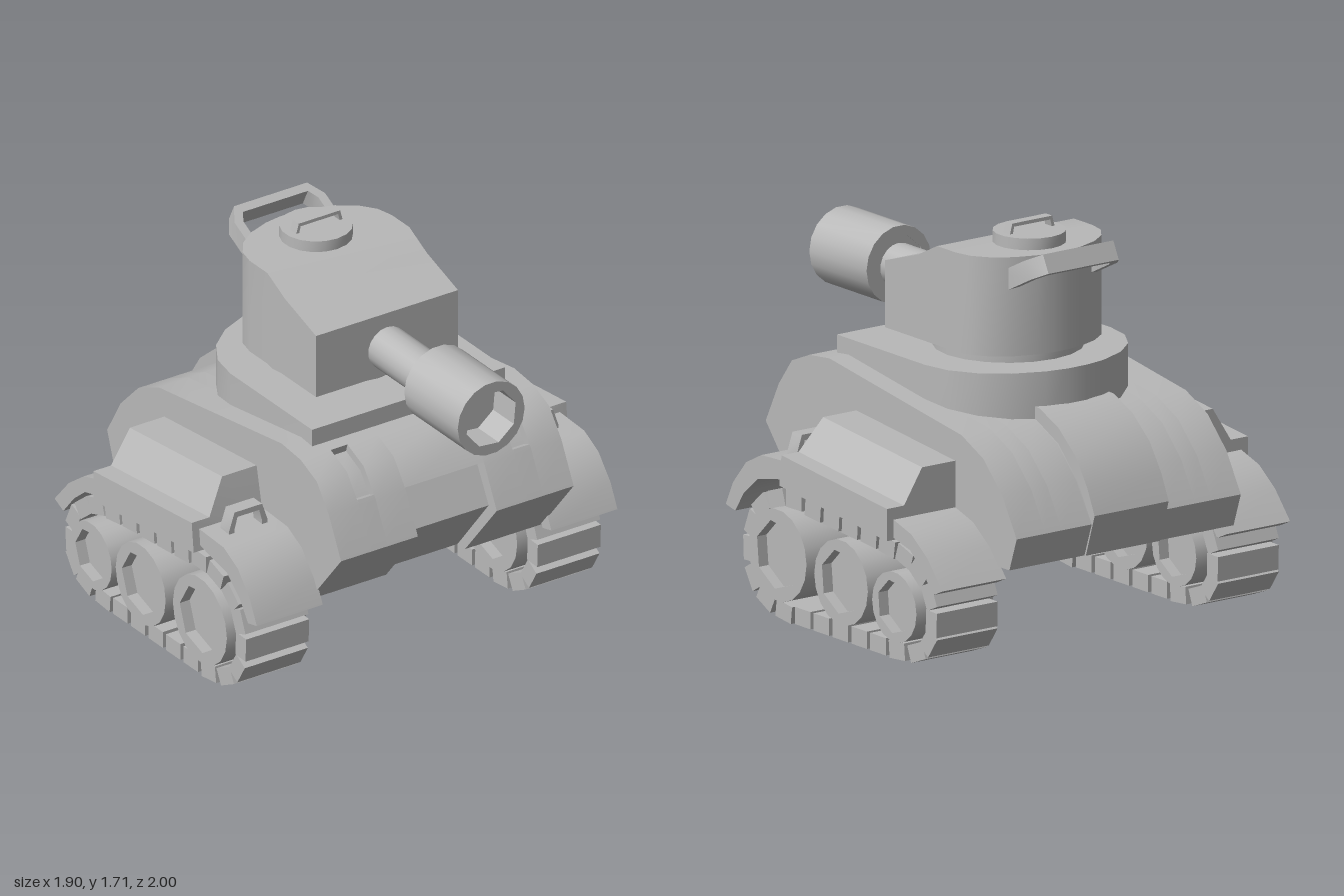
import * as THREE from 'three';
import { toCreasedNormals } from 'three/addons/utils/BufferGeometryUtils.js';

const grey = new THREE.MeshStandardMaterial({ color: 0xb8b8b8 });
grey.name = 'armour grey';

const poly = (n, r, cx = 0, cy = 0, turn = 0) => Array.from({ length: n }, (_, i) => {
  const a = turn + (i / n) * Math.PI * 2;
  return [cx + r * Math.cos(a), cy + r * Math.sin(a)];
});
const toV2 = (pts) => pts.map(([a, b]) => new THREE.Vector2(a, b));

// Flat outline (with optional hole) pushed along +z
function extrude(pts, depth, hole) {
  const shape = new THREE.Shape(toV2(pts));
  if (hole) shape.holes.push(new THREE.Path(toV2(hole)));
  return new THREE.ExtrudeGeometry(shape, { depth, bevelEnabled: false });
}

// Side outline in (z, y) pushed from x0 to x1
const slab = (pts, x0, x1, hole) =>
  extrude(pts, x1 - x0, hole).rotateY(-Math.PI / 2).translate(x1, 0, 0);

// Skin over matching loops, front to back, counter-clockwise seen from the front
function loft(rings) {
  const pos = [];
  const tri = (...p) => p.forEach((v) => pos.push(...v));
  const n = rings[0].length;
  const first = rings[0], last = rings[rings.length - 1];
  for (let i = 1; i < n - 1; i++) {
    tri(first[0], first[i], first[i + 1]);
    tri(last[0], last[i + 1], last[i]);
  }
  for (let r = 0; r < rings.length - 1; r++) {
    for (let i = 0; i < n; i++) {
      const j = (i + 1) % n, a = rings[r], b = rings[r + 1];
      tri(a[i], b[i], b[j]);
      tri(a[i], b[j], a[j]);
    }
  }
  const g = new THREE.BufferGeometry();
  g.setAttribute('position', new THREE.Float32BufferAttribute(pos, 3));
  g.computeVertexNormals();
  return g;
}

// Straight sides with a rounded back; rows of [z, half width, top]
function roundedBack(front, zc, rx, rz, bottom, top) {
  const rows = front.map(([z, y]) => [z, rx, y]);
  for (const deg of [0, 18, 36, 54, 72, 84]) {
    const a = THREE.MathUtils.degToRad(deg);
    rows.push([zc - rz * Math.sin(a), rx * Math.cos(a), top]);
  }
  return loft(rows.map(([z, w, y]) => [[-w, bottom, z], [w, bottom, z], [w, y, z], [-w, y, z]]));
}

export function createModel() {
  const model = new THREE.Group();
  model.name = 'tank';
  const add = (name, geometry, parent = model) => {
    const mesh = new THREE.Mesh(toCreasedNormals(geometry, 0.62), grey);
    mesh.name = name;
    parent.add(mesh);
    return mesh;
  };

  // Hull, sliced across its width so the front panel and slots are recessed
  const rear = [[0.31, 1.065], [-0.36, 0.965], [-0.6, 0.93], [-0.75, 0.86], [-0.88, 0.73], [-0.98, 0.56], [-0.93, 0.415]];
  const lower = [[0.515, 0.415], [0.75, 0.7]];
  const plain = [...lower, [0.66, 0.88], [0.57, 1.0], [0.45, 1.05], ...rear];
  const slotted = [...lower, [0.66, 0.88], [0.648, 0.9], [0.61, 0.885], [0.545, 0.97], [0.44, 1.015], [0.45, 1.05], ...rear];
  const panel = [[0.46, 0.415], [0.69, 0.7], [0.605, 0.86], [0.655, 0.89], [0.57, 1.0], [0.45, 1.05], ...rear];
  add('hullCentre', slab(panel, -0.2, 0.2));
  for (const s of [1, -1]) {
    for (const [name, outline, a, b] of [['hullInner', plain, 0.2, 0.352], ['hullSlot', slotted, 0.352, 0.437], ['hullOuter', plain, 0.437, 0.59]]) {
      add(name, slab(outline, s > 0 ? a : -b, s > 0 ? b : -a));
    }
  }
  add('rearStrip', slab([[-0.5, 0.99], [-0.62, 0.985], [-0.75, 0.93], [-0.87, 0.83], [-0.95, 0.71], [-1, 0.6],
    [-0.94, 0.415], [-0.85, 0.415], [-0.85, 0.6], [-0.5, 0.8]], -0.195, 0.195));

  // Turret
  add('turretBase', roundedBack([[0.39, 1.135]], -0.215, 0.49, 0.412, 0.92, 1.135));
  add('turretNeck', new THREE.CylinderGeometry(0.32, 0.32, 0.08, 20).translate(0, 1.155, -0.15));
  add('turret', roundedBack([[0.23, 1.47], [0, 1.545], [-0.13, 1.61]], -0.26, 0.36, 0.255, 1.18, 1.61));
  add('hatch', new THREE.CylinderGeometry(0.155, 0.155, 0.06, 18).translate(0, 1.63, -0.295));
  add('hatchHandle', extrude([[-0.12, 1.65], [-0.105, 1.705], [0.105, 1.705], [0.12, 1.65],
    [0.105, 1.65], [0.095, 1.69], [-0.095, 1.69], [-0.105, 1.65]], 0.045).translate(0, 0, -0.315));
  add('turretRearHandle', extrude([[-0.23, -0.04], [-0.23, 0.16], [-0.185, 0.235], [0.185, 0.235], [0.23, 0.16], [0.23, -0.04],
    [0.19, -0.04], [0.19, 0.15], [0.165, 0.195], [-0.165, 0.195], [-0.19, 0.15], [-0.19, -0.04]], 0.085)
    .translate(0, 0, -0.0425).rotateX(-1.107).translate(0, 1.51, -0.44));

  // Gun with an open muzzle
  add('barrel', new THREE.CylinderGeometry(0.096, 0.096, 0.5, 18).rotateX(Math.PI / 2).translate(0, 1.308, 0.4));
  add('muzzle', extrude(poly(18, 0.17), 0.395, poly(8, 0.13, 0, 0, 0.3)).translate(0, 1.31, 0.605));
  add('muzzleCore', new THREE.CylinderGeometry(0.145, 0.145, 0.24, 18).rotateX(Math.PI / 2).translate(0, 1.31, 0.727));

  // Running gear on each side
  const links = [[0.345, 0.07], [0.22, 0.038], [0.09, 0.038], [-0.04, 0.038], [-0.17, 0.038], [-0.3, 0.038], [-0.43, 0.038],
    [-0.56, 0.038], [-0.695, 0.06], [-0.775, 0.12], [-0.797, 0.205], [-0.78, 0.32], [-0.705, 0.405], [-0.61, 0.455],
    [-0.49, 0.475], [-0.365, 0.49], [-0.235, 0.5], [-0.108, 0.51], [0.02, 0.52], [0.15, 0.535], [0.27, 0.518],
    [0.38, 0.46], [0.44, 0.37], [0.46, 0.26], [0.43, 0.145]];
  const wheels = [[0.213, 0.29, 0.2, 0.15], [-0.225, 0.267, 0.185, 0.14], [-0.592, 0.24, 0.153, 0.117]];
  const fender = [[0.6, 0.425], [0.55, 0.53], [0.46, 0.636], [0.355, 0.69], [0.14, 0.7], [-0.55, 0.61], [-0.68, 0.57], [-0.79, 0.49],
    [-0.895, 0.37], [-0.83, 0.34], [-0.75, 0.435], [-0.67, 0.5], [-0.555, 0.53], [0.17, 0.625], [0.38, 0.58], [0.475, 0.5], [0.535, 0.41]];
  // Storage box cross-section: half width, front height and z, rear height
  const box = [[0.58, 0.6, 0.185, 0.52], [0.95, 0.6, 0.185, 0.52], [0.95, 0.735, 0.17, 0.66],
    [0.86, 0.735, 0.17, 0.66], [0.765, 0.88, 0.125, 0.81], [0.58, 0.88, 0.125, 0.81]];

  for (const s of [1, -1]) {
    const side = new THREE.Group();
    side.name = s > 0 ? 'leftRunningGear' : 'rightRunningGear';
    model.add(side);
    const span = (a, b) => (s > 0 ? [a, b] : [-b, -a]);

    links.forEach(([z, y], i) => {
      const p = links[(i + links.length - 1) % links.length], q = links[(i + 1) % links.length];
      const link = add('trackLink', new THREE.BoxGeometry(0.32, 0.075, 0.107), side);
      link.position.set(s * 0.74, y, z);
      link.rotation.x = -Math.atan2(q[1] - p[1], q[0] - p[0]);
    });

    for (const [z, y, r, inner] of wheels) {
      add('wheelRim', slab(poly(18, r, z, y), ...span(0.535, 0.938), poly(7, inner, z, y, 0.35)), side);
      add('wheelDisc', slab(poly(18, (r + inner) / 2, z, y), ...span(0.585, 0.888)), side);
    }

    add('fender', slab(fender, ...span(0.58, 0.915)), side);
    const order = s > 0 ? box : [box[0], ...box.slice(1).reverse()];
    add('storageBox', loft([order.map(([x, y, z]) => [s * x, y, z]), order.map(([x, , , y]) => [s * x, y, -0.557])]), side);
    add('fenderHandle', extrude([[-0.097, 0.66], [-0.097, 0.71], [-0.07, 0.79], [0.07, 0.79], [0.097, 0.71], [0.097, 0.66],
      [0.07, 0.66], [0.07, 0.71], [0.055, 0.765], [-0.055, 0.765], [-0.07, 0.71], [-0.07, 0.66]], 0.065)
      .translate(s * 0.738, 0, 0.215), side);
  }
  return model;
}
